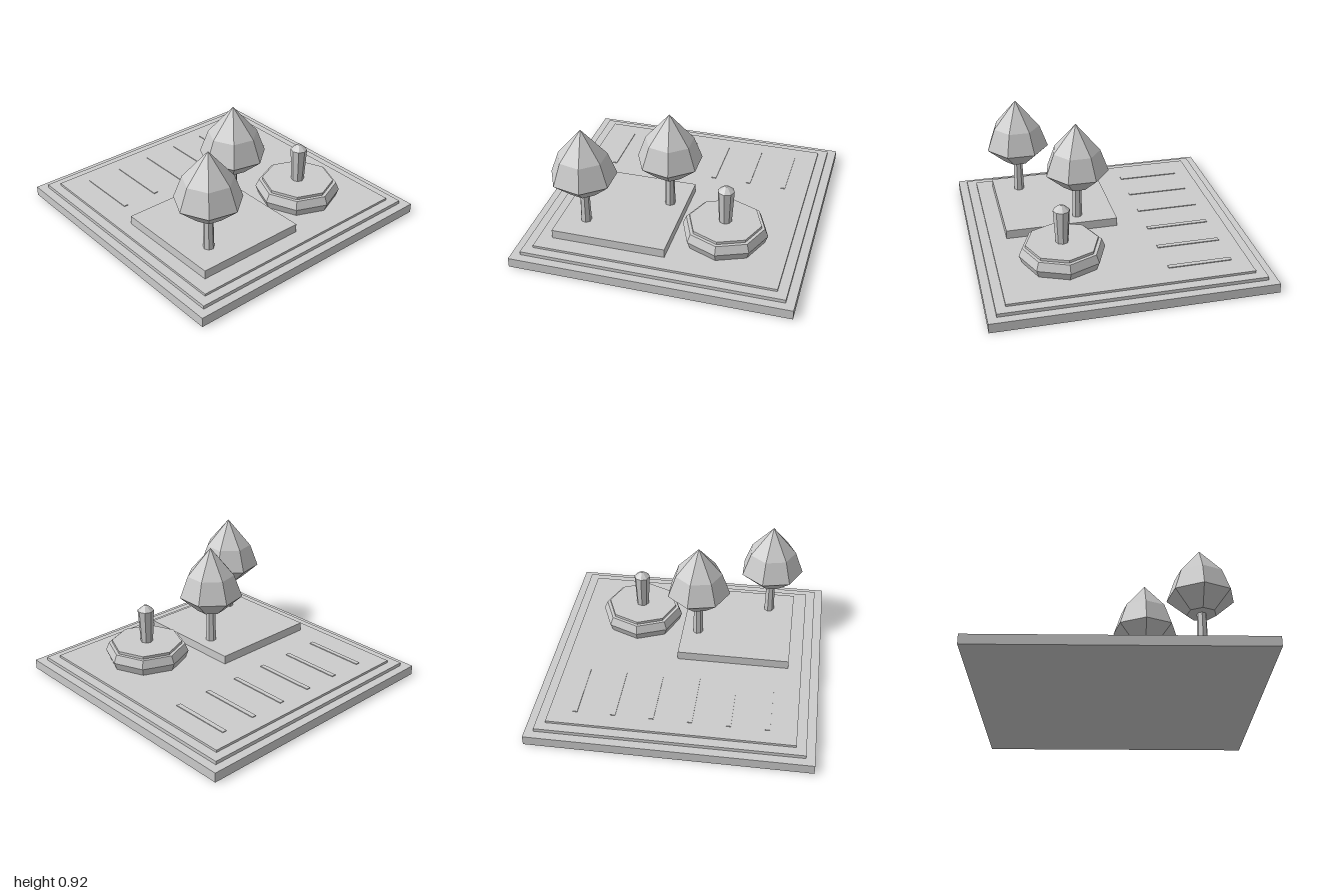
import * as THREE from 'three';

export function createModel() {
  const model = new THREE.Group();
  const stone = new THREE.MeshStandardMaterial({ color: 0xcccccc });
  stone.name = 'plain grey';

  const add = (name, geometry, parent = model) => {
    const mesh = new THREE.Mesh(geometry, stone);
    mesh.name = name;
    parent.add(mesh);
    return mesh;
  };

  // Box given by its lower and upper limits
  const slab = (name, x0, x1, y0, y1, z0, z1) =>
    add(name, new THREE.BoxGeometry(x1 - x0, y1 - y0, z1 - z0))
      .position.set((x0 + x1) / 2, (y0 + y1) / 2, (z0 + z1) / 2);

  // Faceted solid turned from [radius, height] pairs, one corner on -x
  const turned = (profile, sides) => {
    const points = profile.map(([r, y]) => new THREE.Vector2(r, y));
    const geometry = new THREE.LatheGeometry(points, sides, -Math.PI / 2).toNonIndexed();
    geometry.computeVertexNormals();
    return geometry;
  };

  // Stepped ground
  slab('base', -1, 1, 0, 0.07, -1, 1);
  slab('lowerStep', -0.937, 0.937, 0.07, 0.095, -0.937, 0.937);
  slab('plaza', -0.868, 0.868, 0.095, 0.112, -0.868, 0.868);

  // Raised planting bed
  slab('plantingBed', -0.77, 0.055, 0.112, 0.176, -0.08, 0.747);

  // Parking lines along the back
  for (let i = 0; i < 6; i++) {
    const x = -0.665 + i * 0.27;
    slab('parkingLine', x - 0.017, x + 0.017, 0.112, 0.118, -0.75, -0.29);
  }

  // Trees
  for (const [x, z] of [[-0.581, 0.557], [-0.062, 0.199]]) {
    const tree = new THREE.Group();
    tree.name = 'tree';
    tree.position.set(x, 0, z);
    add('trunk', turned([[0, 0.17], [0.039, 0.17], [0.033, 0.44], [0, 0.44]], 7), tree);
    add('crown', turned([[0, 0.43], [0.103, 0.43], [0.237, 0.55], [0.176, 0.715], [0, 0.92]], 7), tree);
    model.add(tree);
  }

  // Octagonal fountain with a central pillar
  const fountain = new THREE.Group();
  fountain.name = 'fountain';
  fountain.position.set(0.4, 0, 0.4);
  add('basin', turned([[0, 0.11], [0.285, 0.11], [0.309, 0.17], [0.284, 0.23], [0, 0.23]], 8), fountain);
  add('basinTop', turned([[0, 0.23], [0.26, 0.23], [0.26, 0.25], [0, 0.25]], 8), fountain);
  add('pillar', turned([[0, 0.25], [0.046, 0.25], [0.06, 0.5], [0.012, 0.54], [0, 0.54]], 8), fountain);
  model.add(fountain);

  return model;
}
